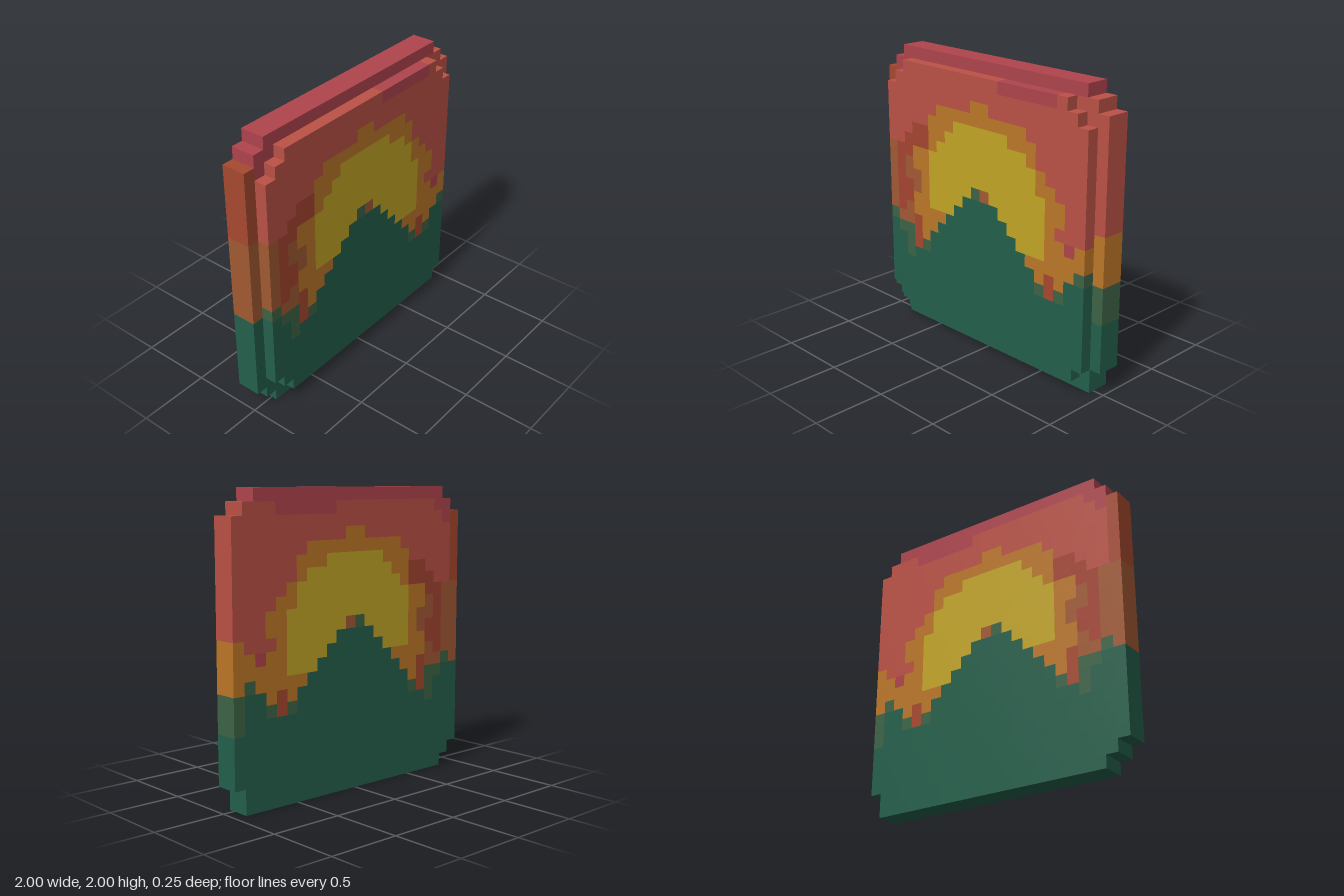
import * as THREE from 'three';
import { mergeGeometries } from 'three/addons/utils/BufferGeometryUtils.js';

const N = 24, CELL = 2 / N;

// Sunset picture, one letter per cell; it runs through the full depth of the tile
const PICTURE = [
  '..MMMMMMMMMMMMMMMMMMMM..',
  '.MMRRRRRRRRRRRMMMMMMRRR.',
  'BMRRRRRRRRRRRRRRRRRRRRRR',
  'BRRRRRRRRRROORRRRRRRRRRR',
  'BRRRRRROOOOOOOOOORRRRRRR',
  'BRRRRROOOYYYYYYOOORRRRRR',
  'BRRRDDOOYYYYYYYYYORRRRRR',
  'BRRDDDOYYYYYYYYYYYORRRRR',
  'NNDDOOYYYYYYYYYYYYOORRRR',
  'NNDNOOYYYYYYYYYYYYYOORRR',
  'NNDNNOYYYYYgNYYYYYYOORRR',
  'NNDDNOYYYYGGGGYYYYYORRRO',
  'NNDDOOYYYGGGGGGYYYYOOMOO',
  'NNDNOOOOGGGGGGGGYYYOOOOO',
  'NgNNBOOGGGGGGGGGGOOOOOgO',
  'GGggBOGGGGGGGGGGGGOBOGGg',
  'GGGgBgGGGGGGGGGGGGgBgGGg',
  'GGGgGGGGGGGGGGGGGGGGGGGg',
  'GGGGGGGGGGGGGGGGGGGGGGGG',
  'GGGGGGGGGGGGGGGGGGGGGGGG',
  'GGGGGGGGGGGGGGGGGGGGGGGG',
  'GGGGGGGGGGGGGGGGGGGGGGGG',
  '.GGGGGGGGGGGGGGGGGGGGGG.',
  '..GGGGGGGGGGGGGGGGGGGGG.',
];

const PAINT = {
  M: ['upperSky', 0xb0444d],
  R: ['sky', 0xbc5246],
  B: ['rustCloud', 0xa8492f],
  D: ['darkCloud', 0xa64431],
  N: ['brownHaze', 0xa25a33],
  O: ['sunGlow', 0xbd7727],
  Y: ['sun', 0xc4a626],
  G: ['mountain', 0x24604b],
  g: ['mountainEdge', 0x3d6446],
};

// First and last column of the raised front panel in each row
function frontSpan(r) {
  if (r < 1 || r > 22) return [1, 0];
  if (r === 1) return [3, 20];
  if (r === 2) return [2, 21];
  if (r === 21) return [2, 22];
  if (r === 22) return [3, 21];
  return [1, 22];
}

const inBack = (c, r) => (PICTURE[r]?.[c] ?? '.') !== '.';
const inFront = (c, r) => c >= frontSpan(r)[0] && c <= frontSpan(r)[1];

// Sides of a cell: column step, row step, rotation about x and y
const SIDES = [
  [1, 0, 0, Math.PI / 2],
  [-1, 0, 0, -Math.PI / 2],
  [0, -1, -Math.PI / 2, 0],
  [0, 1, Math.PI / 2, 0],
];

// One outward face of the cell (c, r) spanning z0..z1
function cellFace(c, r, z0, z1, rx, ry) {
  return new THREE.PlaneGeometry(1, 1)
    .translate(0, 0, 0.5)
    .rotateX(rx)
    .rotateY(ry)
    .scale(CELL, CELL, z1 - z0)
    .translate((c + 0.5) * CELL - 1, 2 - (r + 0.5) * CELL, (z0 + z1) / 2);
}

export function createModel() {
  const group = new THREE.Group();
  group.name = 'sunsetTile';
  const zBack = -1.5 * CELL, zStep = 0.5 * CELL, zFront = 1.5 * CELL;
  const faces = {};

  for (let r = 0; r < N; r++) {
    for (let c = 0; c < N; c++) {
      if (!inBack(c, r)) continue;
      const list = (faces[PICTURE[r][c]] ??= []);
      const raised = inFront(c, r);
      // Back and front faces
      list.push(cellFace(c, r, zBack, zStep, 0, Math.PI));
      list.push(cellFace(c, r, zBack, raised ? zFront : zStep, 0, 0));
      // Stepped rims of the base slab and the raised panel
      for (const [dc, dr, rx, ry] of SIDES) {
        if (!inBack(c + dc, r + dr)) list.push(cellFace(c, r, zBack, zStep, rx, ry));
        if (raised && !inFront(c + dc, r + dr)) list.push(cellFace(c, r, zStep, zFront, rx, ry));
      }
    }
  }

  // One mesh per colour area
  for (const [key, list] of Object.entries(faces)) {
    const [name, color] = PAINT[key];
    const mesh = new THREE.Mesh(mergeGeometries(list), new THREE.MeshStandardMaterial({ color }));
    mesh.name = name;
    group.add(mesh);
  }
  return group;
}
